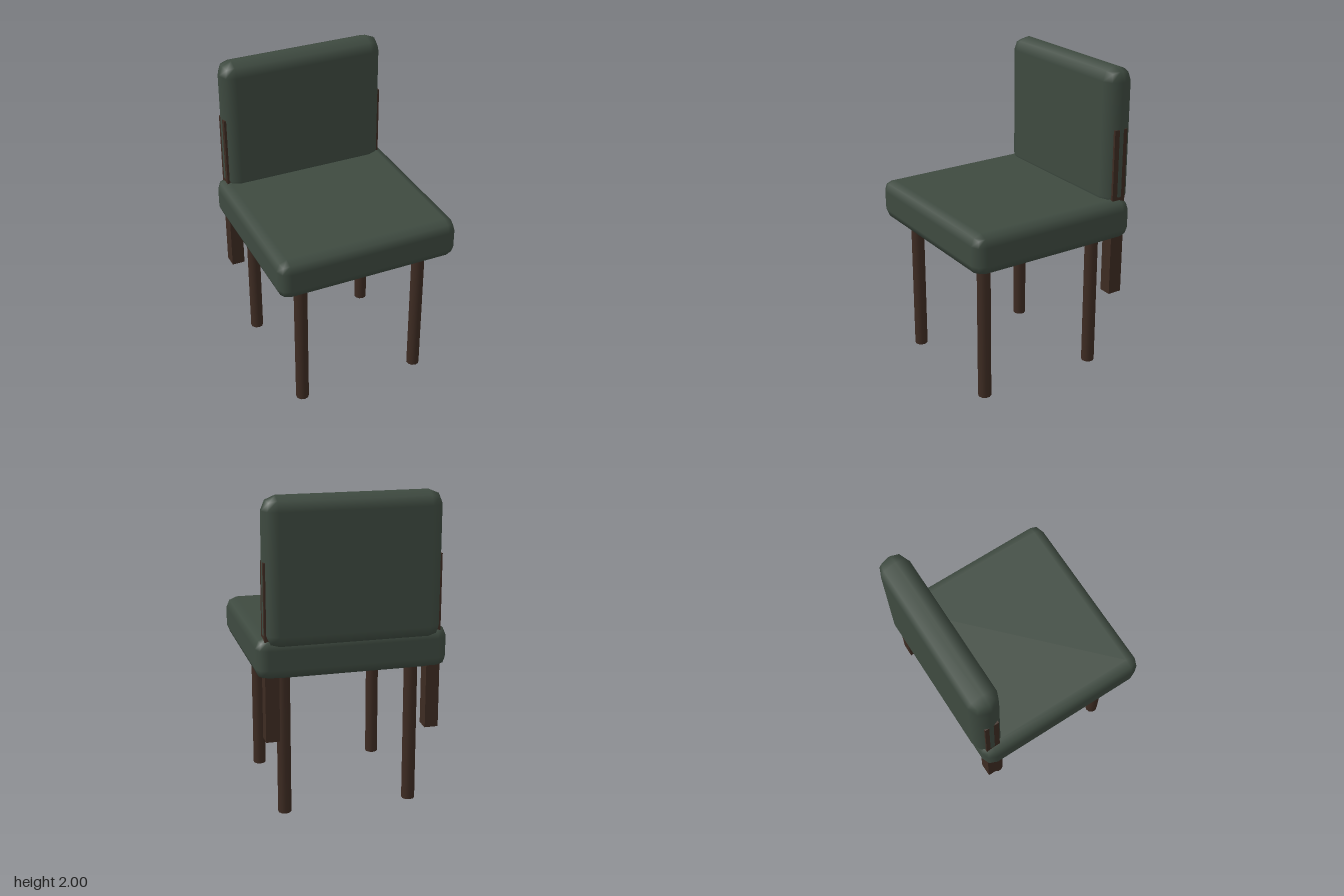
import * as THREE from 'three';
import { RoundedBoxGeometry } from 'three/addons/geometries/RoundedBoxGeometry.js';

export function createModel() {
  const chair = new THREE.Group();
  chair.name = 'chair';
  const fabric = new THREE.MeshStandardMaterial({ color: 0x3e4a40 });
  const wood = new THREE.MeshStandardMaterial({ color: 0x3d2b22 });

  const add = (name, geometry, material, x, y, z) => {
    const mesh = new THREE.Mesh(geometry, material);
    mesh.name = name;
    mesh.position.set(x, y, z);
    chair.add(mesh);
  };

  // Padded seat and backrest with softly rounded edges
  add('seatCushion', new RoundedBoxGeometry(1.186, 0.26, 1.14, 1, 0.07), fabric, 0, 1.04, 0.01);
  add('backrest', new RoundedBoxGeometry(1.09, 0.9, 0.19, 1, 0.086), fabric, 0, 1.55, -0.49);

  const legGeometry = new THREE.CylinderGeometry(0.042, 0.042, 0.94, 10);
  const postGeometry = new THREE.BoxGeometry(0.085, 1.095, 0.093);
  for (const [side, sign] of [['left', 1], ['right', -1]]) {
    // Round legs
    add(`${side}FrontLeg`, legGeometry, wood, sign * 0.405, 0.47, 0.42);
    add(`${side}BackLeg`, legGeometry, wood, sign * 0.405, 0.47, -0.392);
    // Square posts joining the backrest to the seat
    add(`${side}BackPost`, postGeometry, wood, sign * 0.5, 1.0725, -0.486);
  }
  return chair;
}
